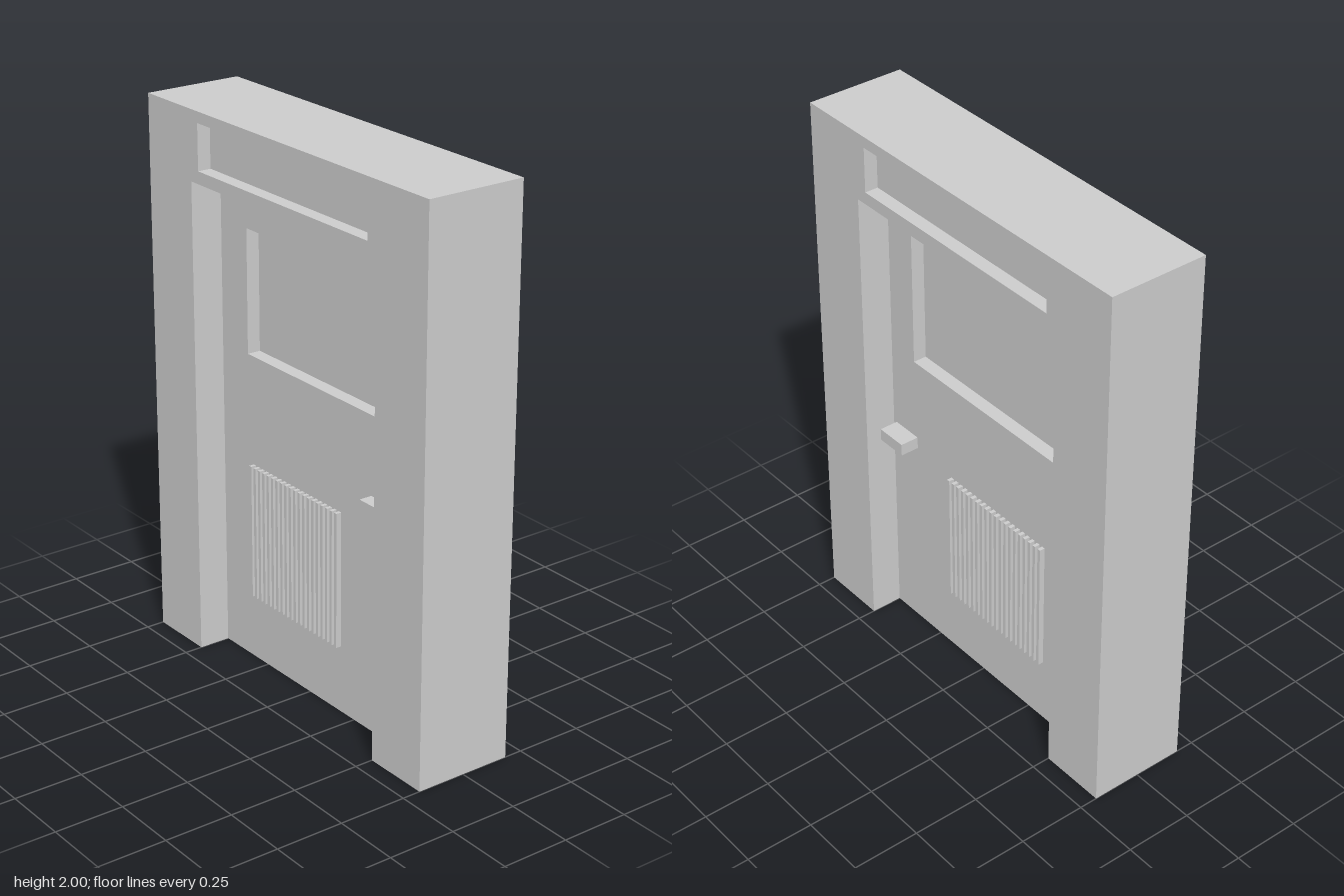
import * as THREE from 'three';

const W = 1.5, H = 2, D = 0.366;      // wall block
const DOOR_W = 1, DOOR_H = 1.75;      // doorway
const DOOR_Z = 0.065;                 // door face distance from the centre plane
const RECESS = 0.05;

const solid = new THREE.MeshStandardMaterial({ color: 0xcccccc, flatShading: true });
const thin = new THREE.MeshStandardMaterial({ color: 0xcccccc, flatShading: true, side: THREE.DoubleSide });

function add(parent, name, geometry, material = solid) {
  const mesh = new THREE.Mesh(geometry, material);
  mesh.name = name;
  parent.add(mesh);
  return mesh;
}

// Box given by its limits
function box(parent, name, x0, x1, y0, y1, z0, z1) {
  const mesh = add(parent, name, new THREE.BoxGeometry(x1 - x0, y1 - y0, z1 - z0));
  mesh.position.set((x0 + x1) / 2, (y0 + y1) / 2, (z0 + z1) / 2);
  return mesh;
}

const corners = (x0, x1, y0, y1) =>
  [[x0, y0], [x1, y0], [x1, y1], [x0, y1]].map(([x, y]) => new THREE.Vector2(x, y));

// Rectangle with a rectangular hole
function pierced(outer, inner) {
  const shape = new THREE.Shape(corners(...outer));
  shape.holes.push(new THREE.Path(corners(...inner).reverse()));
  return shape;
}

// One face of the door, facing +z
function doorSide(name, win, handle) {
  const side = new THREE.Group();
  side.name = name;

  // Hollow door skin, open at the bottom
  const rim = 0.01;
  const [x0, x1, y0, y1] = win;
  const outer = [x0 - rim, x1 + rim, y0 - rim, y1 + rim];
  add(side, 'doorPanel', new THREE.ShapeGeometry(
    pierced([-DOOR_W / 2, DOOR_W / 2, 0, DOOR_H], outer)), thin).position.z = DOOR_Z;

  // Recessed window
  add(side, 'windowReveal', new THREE.ExtrudeGeometry(pierced(outer, win),
    { depth: RECESS, bevelEnabled: false })).position.z = DOOR_Z - RECESS;
  box(side, 'windowPane', ...outer, 0, DOOR_Z - RECESS);

  // Handle block
  box(side, 'handle', ...handle);
  return side;
}

// Raised upright slats of the vent
function vent(x0, x1) {
  const group = new THREE.Group();
  group.name = 'vent';
  const count = 20, pitch = (x1 - x0) / (count - 0.5);
  for (let i = 0; i < count; i++) {
    const x = x0 + i * pitch;
    box(group, 'ventSlat', x, x + pitch / 2, 0.25, 0.75, DOOR_Z - 0.002, DOOR_Z + 0.02);
  }
  return group;
}

export function createModel() {
  const model = new THREE.Group();
  model.name = 'doorway';

  // Wall block with doorway and transom opening
  const w = W / 2, d = DOOR_W / 2;
  const outline = [[-w, 0], [-d, 0], [-d, DOOR_H], [d, DOOR_H], [d, 0], [w, 0], [w, H], [-w, H]];
  const shape = new THREE.Shape(outline.map(([x, y]) => new THREE.Vector2(x, y)));
  const transom = [-0.458, 0.458, 1.795, 1.96];
  shape.holes.push(new THREE.Path(corners(...transom).reverse()));
  add(model, 'doorFrame', new THREE.ExtrudeGeometry(shape, { depth: D, bevelEnabled: false }))
    .position.z = -D / 2;
  box(model, 'transomPane', ...transom, RECESS - D / 2, D / 2 - RECESS);

  // Front of the door
  const front = doorSide('doorFront', [-0.352, 0.352, 1.152, 1.602],
    [0.335, 0.485, 0.793, 0.868, DOOR_Z, 0.113]);
  front.add(vent(-0.325, 0.175));

  // Back of the door, turned around
  const back = doorSide('doorBack', [-0.375, 0.375, 1.125, 1.625],
    [-0.485, -0.365, 0.767, 0.812, DOOR_Z, 0.135]);
  back.add(vent(-0.175, 0.325));
  back.rotation.y = Math.PI;

  model.add(front, back);
  return model;
}
